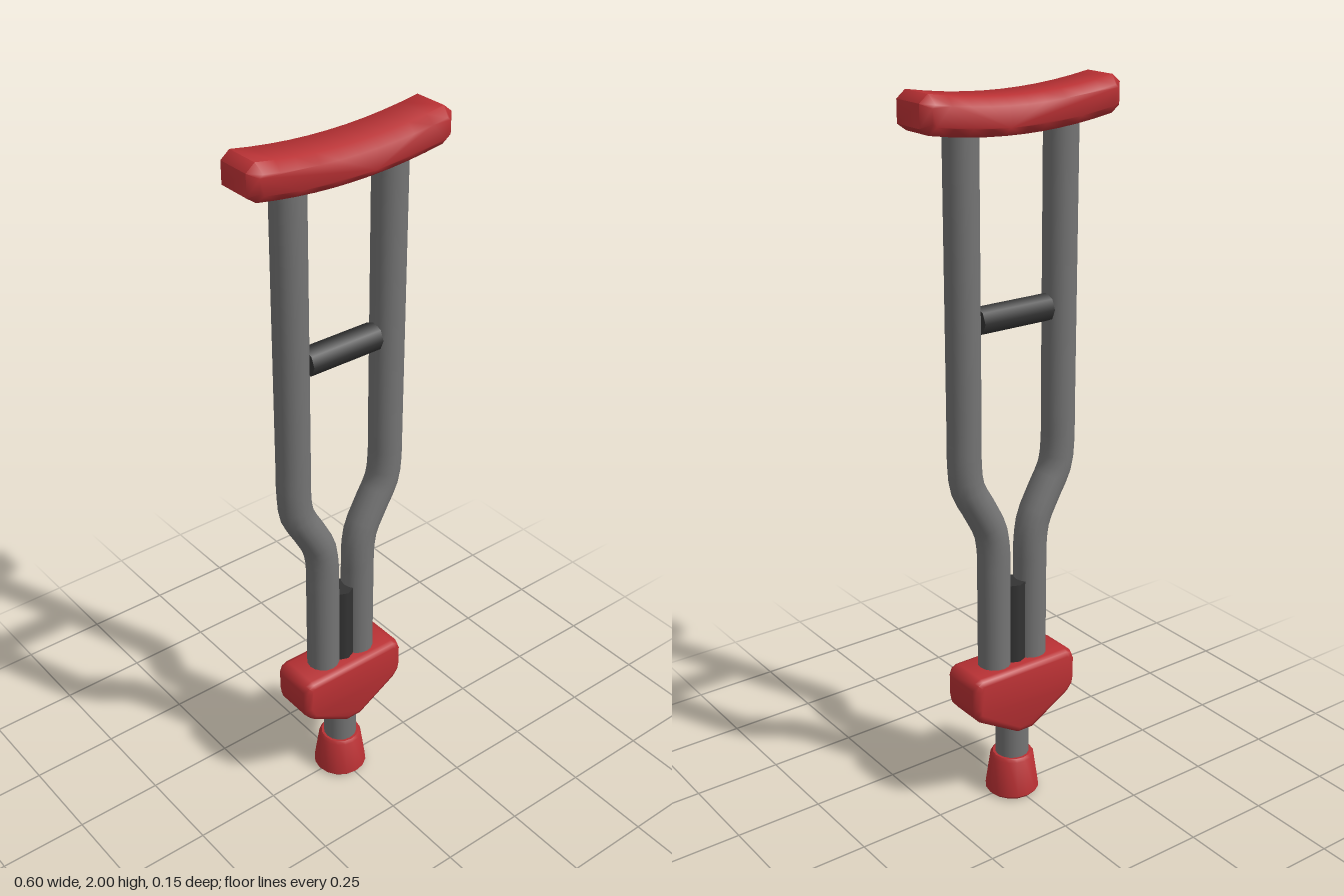
import * as THREE from 'three';
import { toCreasedNormals } from 'three/addons/utils/BufferGeometryUtils.js';

// Extrude an outline to a given depth, centred on z, with an inward bevel.
function slab(points, depth, bevel, segments, name, material) {
  const shape = new THREE.Shape(points.map(([x, y]) => new THREE.Vector2(x, y)));
  const geo = new THREE.ExtrudeGeometry(shape, {
    depth: depth - 2 * bevel, bevelThickness: bevel, bevelSize: bevel,
    bevelOffset: -bevel, bevelSegments: segments,
  });
  geo.translate(0, 0, -depth / 2 + bevel);
  const mesh = new THREE.Mesh(toCreasedNormals(geo, 0.9), material);
  mesh.name = name;
  return mesh;
}

export function createModel() {
  const red = new THREE.MeshStandardMaterial({ color: 0xb83033 });
  red.name = 'red rubber';
  const grey = new THREE.MeshStandardMaterial({ color: 0x747474 });
  grey.name = 'grey metal';
  const dark = new THREE.MeshStandardMaterial({ color: 0x333333 });
  dark.name = 'dark grip';

  const group = new THREE.Group();
  group.name = 'crutch';
  const add = (name, geo, mat, x = 0, y = 0, z = 0) => {
    const mesh = new THREE.Mesh(geo, mat);
    mesh.name = name;
    mesh.position.set(x, y, z);
    group.add(mesh);
    return mesh;
  };

  // Curved underarm pad: sagging bar with cut corners
  const sag = (x, y) => y + 0.025 * (x / 0.28) ** 2;
  const pad = [];
  const steps = 10;
  for (let i = 0; i <= steps; i++) {
    const x = -0.275 + (0.55 * i) / steps;
    pad.push([x, sag(x, 1.88)]);
  }
  pad.push([0.3, 1.922], [0.3, 1.98]);
  for (let i = steps; i >= 0; i--) {
    const x = -0.275 + (0.55 * i) / steps;
    pad.push([x, sag(x, 1.976)]);
  }
  pad.push([-0.3, 1.98], [-0.3, 1.922]);
  group.add(slab(pad, 0.14, 0.022, 1, 'underarmPad', red));

  // Pair of bent side tubes
  const path = [
    [0.153, 1.92], [0.153, 1.5], [0.153, 1.12], [0.153, 1.04], [0.144, 0.97],
    [0.107, 0.9], [0.072, 0.83], [0.062, 0.77], [0.061, 0.7], [0.061, 0.36],
  ];
  for (const side of [1, -1]) {
    const curve = new THREE.CatmullRomCurve3(
      path.map(([x, y]) => new THREE.Vector3(side * x, y, 0)));
    add(side > 0 ? 'leftTube' : 'rightTube',
      new THREE.TubeGeometry(curve, 48, 0.046, 16), grey);
  }

  // Hand grip and the upright rod between the tubes
  const grip = add('handGrip', new THREE.CylinderGeometry(0.038, 0.038, 0.22, 8), dark, 0, 1.417);
  grip.rotation.z = Math.PI / 2;
  add('centreRod', new THREE.CylinderGeometry(0.038, 0.038, 0.36, 8), dark, 0, 0.48);

  // Wedge-shaped joining block
  const right = [
    [0.025, 0.217], [0.15, 0.29], [0.168, 0.312], [0.172, 0.335],
    [0.172, 0.395], [0.164, 0.416], [0.145, 0.424],
  ];
  const wedge = [...right, ...right.map(([x, y]) => [-x, y]).reverse()];
  group.add(slab(wedge, 0.14, 0.018, 2, 'joiningBlock', red));

  // Bottom stem and flared rubber foot
  add('stem', new THREE.CylinderGeometry(0.048, 0.048, 0.24, 16), grey, 0, 0.2);
  const profile = [[0, 0], [0.07, 0], [0.077, 0.008], [0.062, 0.113], [0.055, 0.122], [0, 0.122]]
    .map(([x, y]) => new THREE.Vector2(x, y));
  add('foot', toCreasedNormals(new THREE.LatheGeometry(profile, 16), 0.7), red);

  return group;
}
